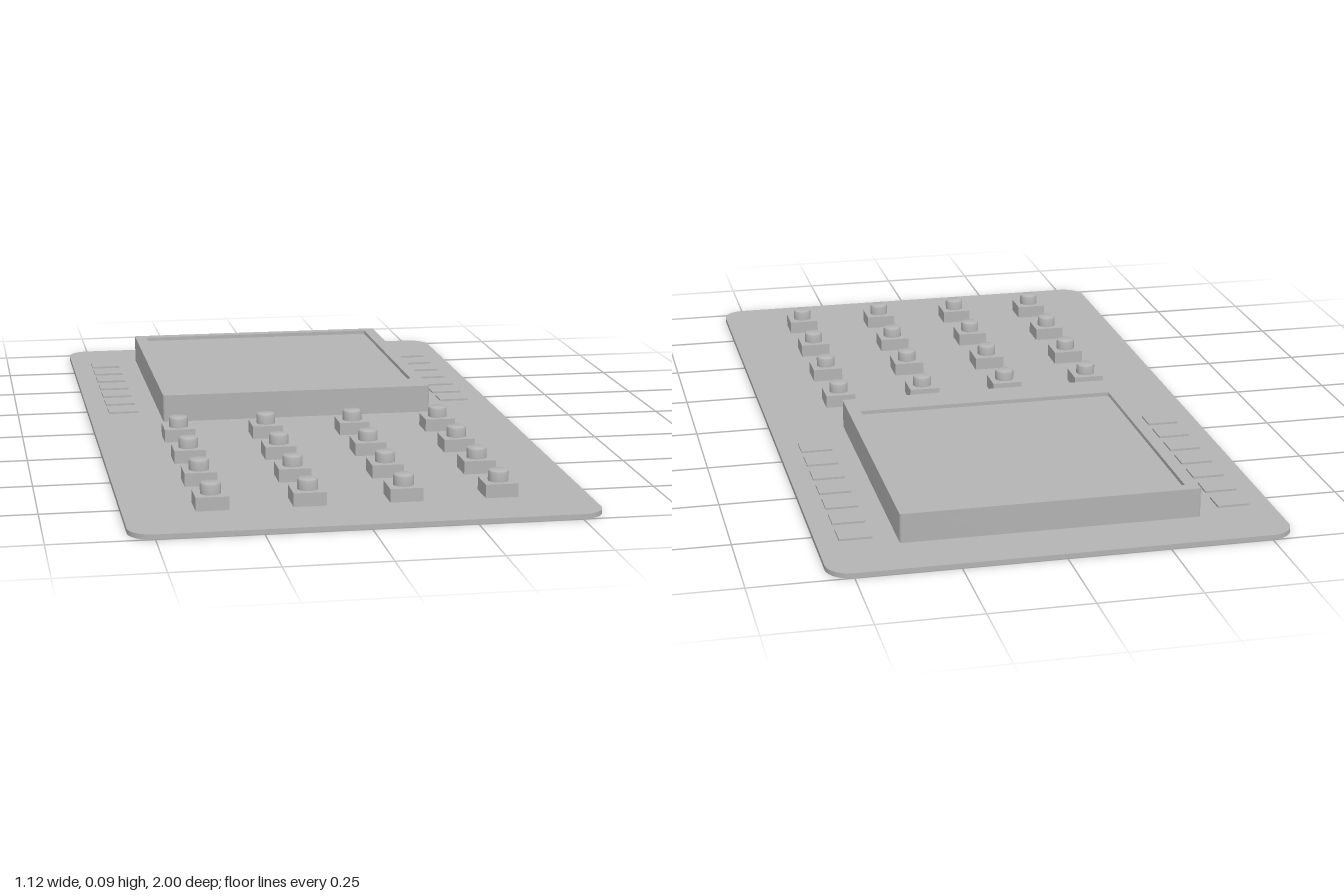
import * as THREE from 'three';
import { toCreasedNormals } from 'three/addons/utils/BufferGeometryUtils.js';

// Rectangle with rounded corners, centred on (cx, cy)
function roundedRect(Type, w, h, r, cx = 0, cy = 0) {
  const p = new Type();
  const x = w / 2 - r, y = h / 2 - r;
  p.absarc(cx + x, cy + y, r, 0, Math.PI / 2);
  p.absarc(cx - x, cy + y, r, Math.PI / 2, Math.PI);
  p.absarc(cx - x, cy - y, r, Math.PI, Math.PI * 1.5);
  p.absarc(cx + x, cy - y, r, Math.PI * 1.5, Math.PI * 2);
  p.closePath();
  return p;
}

// Extrude a plan outline upward (shape y becomes -z)
function slab(shape, height, bottom) {
  const g = new THREE.ExtrudeGeometry(shape, { depth: height, bevelEnabled: false, curveSegments: 12 });
  g.rotateX(-Math.PI / 2);
  g.translate(0, bottom, 0);
  return toCreasedNormals(g, 0.6);
}

export function createModel() {
  const model = new THREE.Group();
  model.name = 'keypadBoard';
  const grey = new THREE.MeshStandardMaterial({ color: 0xb3b3b3 });
  grey.name = 'lightGrey';

  function add(name, geometry, parent = model) {
    const m = new THREE.Mesh(geometry, grey);
    m.name = name;
    parent.add(m);
    return m;
  }

  const top = 0.012;

  // Circuit board with two small holes beneath the display
  const board = roundedRect(THREE.Shape, 1.12, 2, 0.06);
  for (const [x, z] of [[0.137, -0.2], [-0.138, -0.316]]) {
    board.holes.push(new THREE.Path().absarc(x, -z, 0.022, 0, Math.PI * 2, true));
  }
  add('board', slab(board, top, 0));

  // Display: solid base, raised rim and recessed screen
  const display = new THREE.Group();
  display.name = 'display';
  model.add(display);
  const rimBottom = 0.075;
  const body = roundedRect(THREE.Shape, 0.735, 0.8, 0.006, 0, 0.455);
  add('screenBody', slab(body, rimBottom - top, top), display);
  const rim = roundedRect(THREE.Shape, 0.735, 0.8, 0.006, 0, 0.455);
  rim.holes.push(roundedRect(THREE.Path, 0.67, 0.675, 0.004, 0, 0.488));
  add('screenRim', slab(rim, 0.085 - rimBottom, rimBottom), display);

  // Push buttons: square housing and round cap with a softened top edge
  const housing = new THREE.BoxGeometry(0.08, 0.033, 0.08).translate(0, top + 0.0165, 0);
  const cap = toCreasedNormals(new THREE.LatheGeometry([
    [0.025, 0.045], [0.025, 0.066], [0.0235, 0.07], [0.02, 0.072], [0, 0.072],
  ].map(([r, y]) => new THREE.Vector2(r, y)), 24), 0.6);
  for (const z of [0.13, 0.35, 0.57, 0.79]) {
    for (const x of [-0.348, -0.116, 0.116, 0.348]) {
      const button = new THREE.Group();
      button.name = 'button';
      button.position.set(x, 0, z);
      add('buttonHousing', housing, button);
      add('buttonCap', cap, button);
      model.add(button);
    }
  }

  // Solder pads along both sides of the display
  const pad = new THREE.BoxGeometry(0.08, 0.005, 0.062);
  for (const side of [-1, 1]) {
    for (let i = 0; i < 7; i++) {
      add('contactPad', pad).position.set(side * 0.465, top + 0.0025, -0.2 - i * 0.097);
    }
  }

  return model;
}
